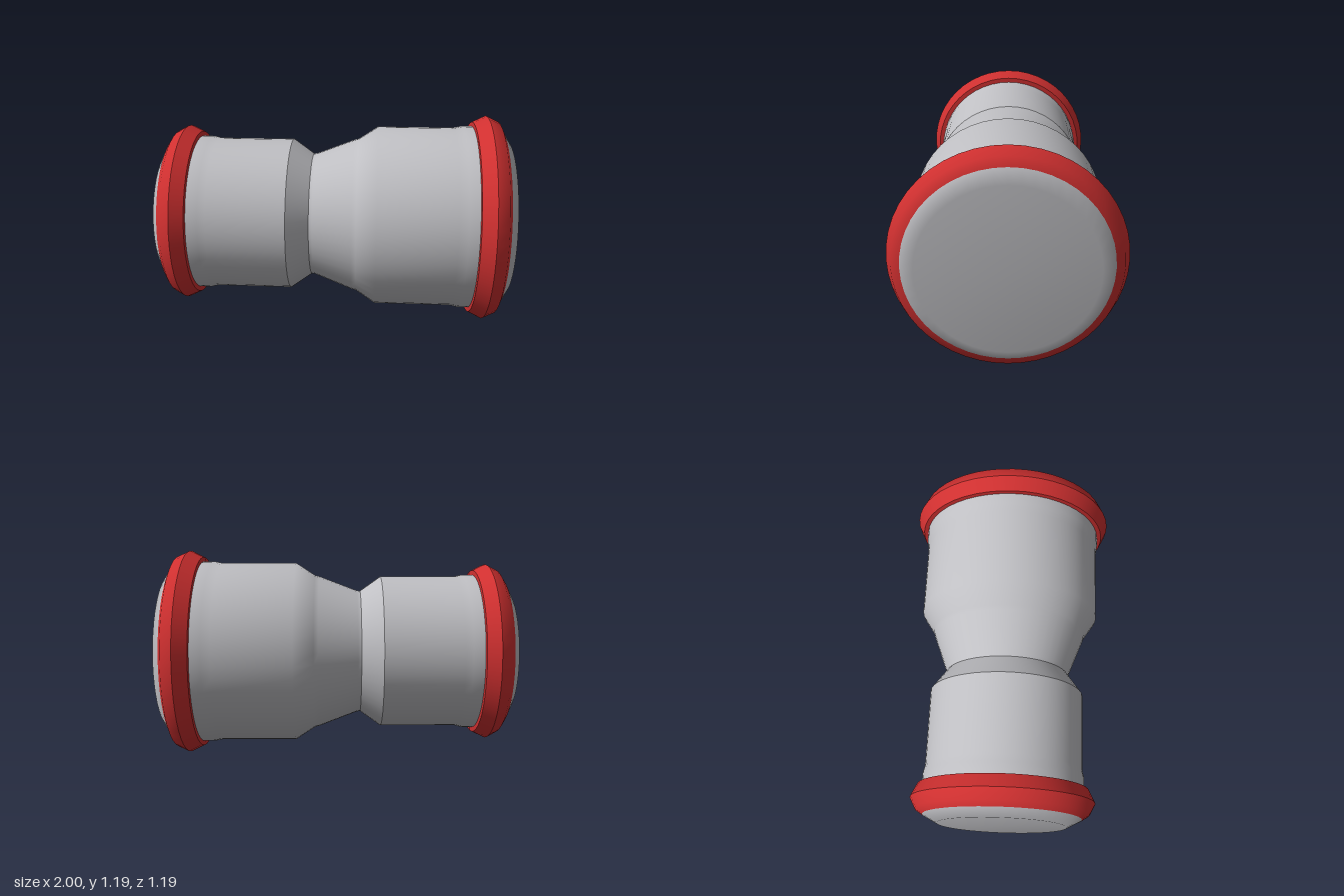
import * as THREE from 'three';

const steel = new THREE.MeshStandardMaterial({ color: 0xbfbfc3 });
steel.name = 'steel grey';
const red = new THREE.MeshStandardMaterial({ color: 0xd03030 });
red.name = 'seal red';

const AXIS_HEIGHT = 0.597;

// Turned section along x; each point is [x, radius], running from -x to +x
function turned(name, material, profile) {
  const points = profile.map(([x, r]) => new THREE.Vector2(r, x));
  const geometry = new THREE.LatheGeometry(points, 48);
  geometry.rotateZ(-Math.PI / 2);
  const mesh = new THREE.Mesh(geometry, material);
  mesh.name = name;
  return mesh;
}

export function createModel() {
  const group = new THREE.Group();
  group.name = 'pipeReducer';

  const fitting = new THREE.Group();
  fitting.name = 'fitting';
  fitting.position.y = AXIS_HEIGHT;
  group.add(fitting);

  fitting.add(
    // Closed, bevelled end faces
    turned('smallEndCap', steel, [[-1, 0], [-1, 0.36], [-0.957, 0.443]]),
    turned('largeEndCap', steel, [[0.955, 0.52], [1, 0.45], [1, 0]]),

    // Sockets, neck and reducing cone
    turned('smallSocket', steel, [[-0.8, 0.455], [-0.73, 0.455], [-0.69, 0.445], [-0.25, 0.445]]),
    turned('neckShoulder', steel, [[-0.25, 0.445], [-0.13, 0.36]]),
    turned('reducerAndLargeSocket', steel, [
      [-0.13, 0.36], [-0.11, 0.363], [0.11, 0.447], [0.135, 0.453],
      [0.245, 0.525], [0.68, 0.525], [0.73, 0.535], [0.795, 0.535],
    ]),

    // Bulging seal rings, creased at the crest
    turned('smallSealOuter', red, [[-0.957, 0.443], [-0.93, 0.485], [-0.87, 0.517]]),
    turned('smallSealInner', red, [[-0.87, 0.517], [-0.797, 0.482]]),
    turned('smallSealBack', red, [[-0.797, 0.482], [-0.795, 0.455]]),
    turned('largeSealBack', red, [[0.79, 0.535], [0.792, 0.56]]),
    turned('largeSealInner', red, [[0.792, 0.56], [0.868, 0.597]]),
    turned('largeSealOuter', red, [[0.868, 0.597], [0.935, 0.566], [0.955, 0.52]]),
  );

  return group;
}
